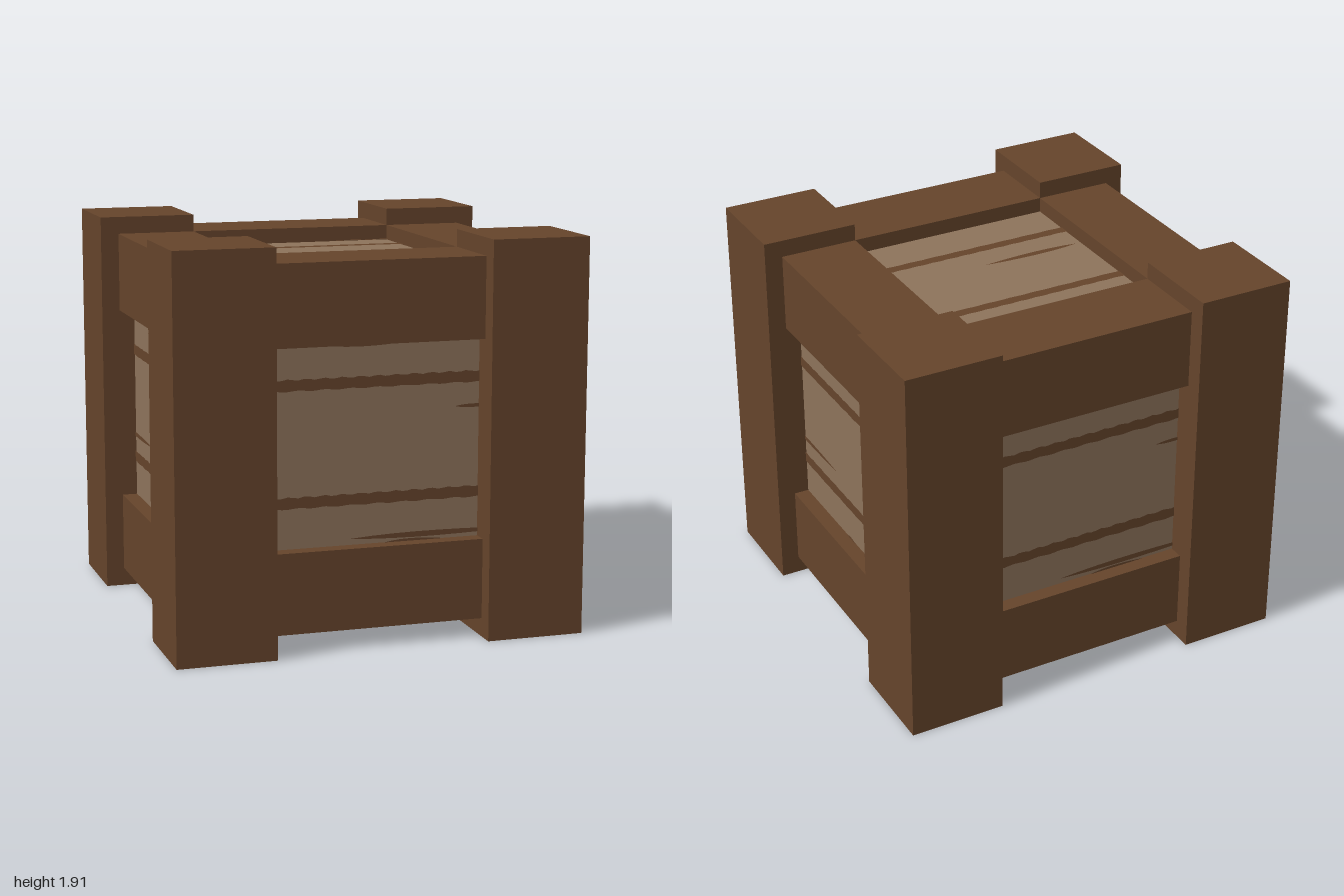
import * as THREE from 'three';

const MID = 0.96;      // crate's middle height
const IN = 0.52;       // half width of the opening between posts
const BEAM = 0.91;     // outer face of the beams
const PANEL = 0.835;   // outer face of the recessed planks

export function createModel() {
  const frameWood = new THREE.MeshStandardMaterial({ color: 0x65442b });
  frameWood.name = 'frameWood';
  const plankWood = new THREE.MeshStandardMaterial({ color: 0x8d735b });
  plankWood.name = 'plankWood';

  const crate = new THREE.Group();
  crate.name = 'crate';

  const box = (name, w, h, d, x, y, z, material = frameWood) => {
    const mesh = new THREE.Mesh(new THREE.BoxGeometry(w, h, d), material);
    mesh.name = name;
    mesh.position.set(x, y, z);
    crate.add(mesh);
  };

  // Corner posts
  for (const sx of [-1, 1]) for (const sz of [-1, 1])
    box('cornerPost', 0.48, 1.915, 0.48, sx * 0.76, 0.9575, sz * 0.76);

  // Horizontal beams between the posts, top and bottom
  const thick = BEAM - IN, mid = (BEAM + IN) / 2;
  for (const y of [0.285, 1.635]) for (const s of [-1, 1]) {
    box('crossBeam', 2 * IN, thick, thick, 0, y, s * mid);
    box('sideBeam', thick, thick, 2 * IN, s * mid, y, 0);
  }

  // Recessed plank box
  box('plankBox', 2 * PANEL, 1.59, 2 * PANEL, 0, MID, 0, plankWood);

  // Dark gap between planks, optionally with a ragged edge
  const gap = (v, ragged) => {
    const pts = [], n = 40;
    for (let i = 0; i <= n; i++) {
      const u = -0.53 + 1.06 * i / n;
      pts.push(new THREE.Vector2(u, v + 0.026 + ragged * Math.sin(i * 1.9)));
    }
    for (let i = n; i >= 0; i--) {
      const u = -0.53 + 1.06 * i / n;
      pts.push(new THREE.Vector2(u, v - 0.027 + ragged * 0.7 * Math.sin(i * 1.3)));
    }
    return new THREE.Shape(pts);
  };

  // Slim wood-grain mark from u0 to u1, tapering at both ends
  const grain = (u0, u1, v, h) => {
    const s = new THREE.Shape(), w = u1 - u0;
    s.moveTo(u0, v);
    s.bezierCurveTo(u0 + w * 0.3, v - h, u1 - w * 0.3, v - h * 0.6, u1, v);
    s.bezierCurveTo(u1 - w * 0.3, v + h * 0.6, u0 + w * 0.3, v + h, u0, v);
    return s;
  };

  // Gaps and grain per face: rotation, face distance, gap heights, grain marks
  const frontGrain = [[-0.24, 0.15, 0.474, 0.02], [0.4, 0.6, 0.155, 0.014],
    [-0.12, 0.75, -0.45, 0.022], [0.05, 0.35, -0.48, 0.02]];
  const sideGrain = [[-0.2, 0.09, 0.405, 0.014], [-0.75, -0.13, -0.163, 0.018],
    [-0.04, 0.06, -0.477, 0.014]];
  const topGrain = [[0.18, 0.75, 0.52, 0.028], [-0.49, 0.02, -0.1, 0.028]];
  const faces = [
    ['front', [0, 0, 0], PANEL, [0.295, -0.26], 0.004, frontGrain],
    ['back', [0, Math.PI, 0], PANEL, [0.295, -0.26], 0.004, frontGrain],
    ['left', [0, Math.PI / 2, 0], PANEL, [0.278, -0.278], 0.002, sideGrain],
    ['right', [0, -Math.PI / 2, 0], PANEL, [0.278, -0.278], 0.002, sideGrain],
    ['top', [-Math.PI / 2, 0, 0], 0.795, [0.29, -0.27], 0.002, topGrain],
    ['bottom', [Math.PI / 2, 0, 0], 0.795, [0.29, -0.27], 0.002, topGrain],
  ];
  for (const [name, rotation, dist, gaps, ragged, marks] of faces) {
    const face = new THREE.Group();
    face.name = name + 'PlankMarks';
    face.position.y = MID;
    face.rotation.set(...rotation);
    const add = (part, shape) => {
      const mesh = new THREE.Mesh(new THREE.ShapeGeometry(shape, 8), frameWood);
      mesh.name = part;
      mesh.position.z = dist + 0.004;
      face.add(mesh);
    };
    gaps.forEach(v => add('plankGap', gap(v, ragged)));
    marks.forEach(m => add('grainMark', grain(...m)));
    crate.add(face);
  }
  return crate;
}
